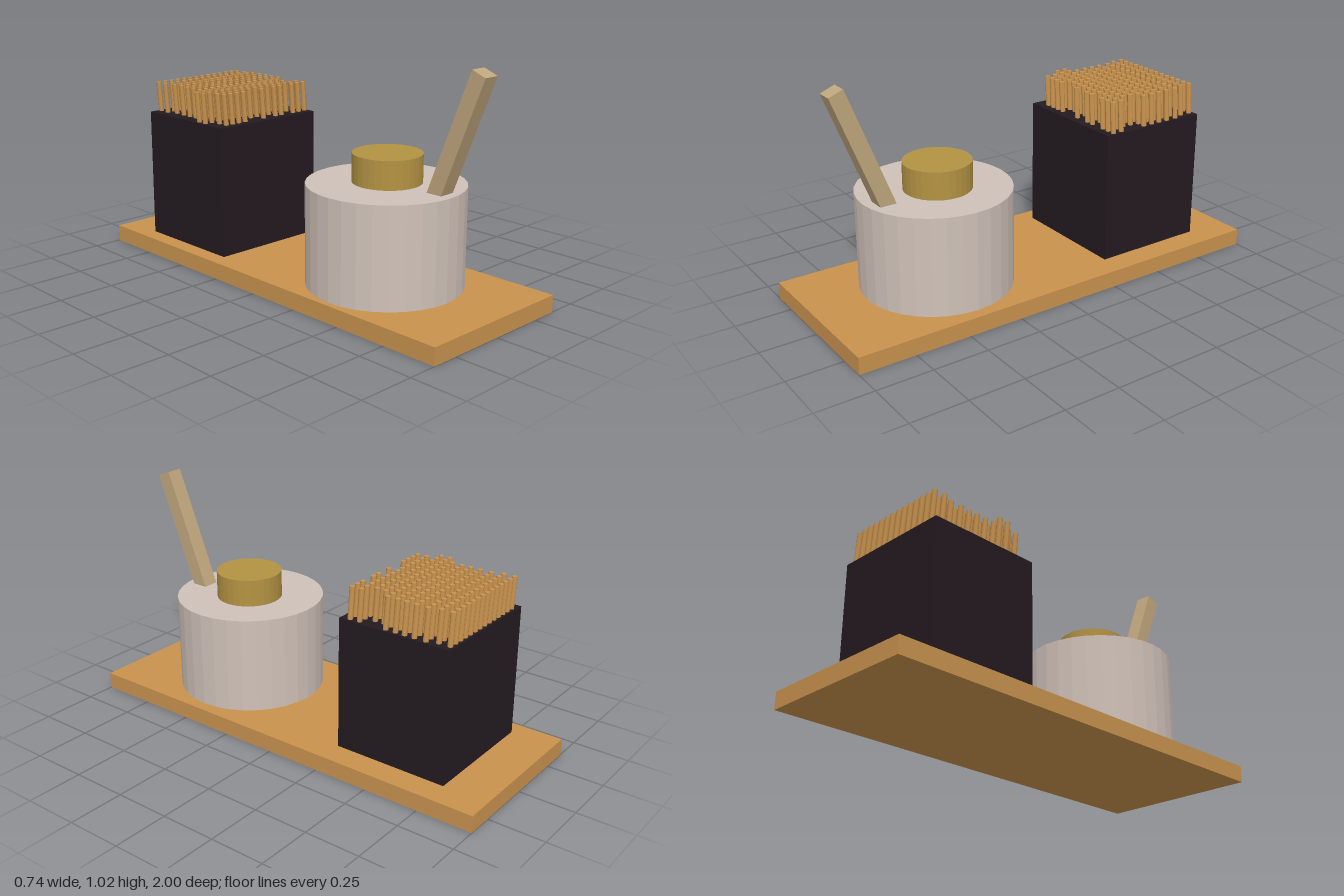
import * as THREE from 'three';

const mat = (color, flatShading = false) => new THREE.MeshStandardMaterial({ color, flatShading });

export function createModel() {
  const group = new THREE.Group();
  const wood = mat(0xc8924e);

  function add(name, geometry, material, x, y, z, parent = group) {
    const mesh = new THREE.Mesh(geometry, material);
    mesh.name = name;
    mesh.position.set(x, y, z);
    parent.add(mesh);
    return mesh;
  }

  // Wooden tray
  add('tray', new THREE.BoxGeometry(0.74, 0.075, 2), wood, 0, 0.0375, 0);

  // Round pot with its knob
  add('pot', new THREE.CylinderGeometry(0.333, 0.333, 0.433, 32), mat(0xcfc1b8, true), -0.013, 0.2915, 0.427);
  add('knob', new THREE.CylinderGeometry(0.147, 0.147, 0.13, 32), mat(0xb39343, true), 0.003, 0.565, 0.418);

  // Leaning handle, sunk into the pot top
  const tilt = 0.376, length = 0.6;
  const handle = add('handle', new THREE.BoxGeometry(0.073, length, 0.068), mat(0xbfa67c),
    0.0225, 1.011 - Math.cos(tilt) * length / 2, 0.878 - Math.sin(tilt) * length / 2);
  handle.rotation.x = tilt;

  // Dark holder box
  add('holder', new THREE.BoxGeometry(0.554, 0.585, 0.517), mat(0x231a20), -0.02, 0.3675, -0.5415);

  // Rows of slightly leaning sticks: z, first x, skipped positions
  const rows = [
    [-0.78, -0.26, []], [-0.73, -0.26, []], [-0.682, -0.243, []], [-0.63, -0.243, []],
    [-0.585, -0.243, []], [-0.543, -0.243, []], [-0.497, -0.243, []], [-0.458, -0.288, []],
    [-0.416, -0.288, []], [-0.37, -0.245, []], [-0.326, -0.243, [4, 5, 7, 10]],
  ];
  const stick = new THREE.CylinderGeometry(0.0115, 0.0115, 0.18, 8);
  // Shear each stick so its top stays level
  const p = stick.attributes.position;
  for (let i = 0; i < p.count; i++) p.setX(i, p.getX(i) + (0.09 - p.getY(i)) * 0.08);
  stick.computeVertexNormals();

  const sticks = new THREE.Group();
  sticks.name = 'sticks';
  group.add(sticks);
  for (const [z, x0, skipped] of rows) {
    for (let i = 0; i < 14; i++) {
      if (!skipped.includes(i)) add('stick', stick, wood, x0 + i * 0.0362, 0.708, z, sticks);
    }
  }
  return group;
}
